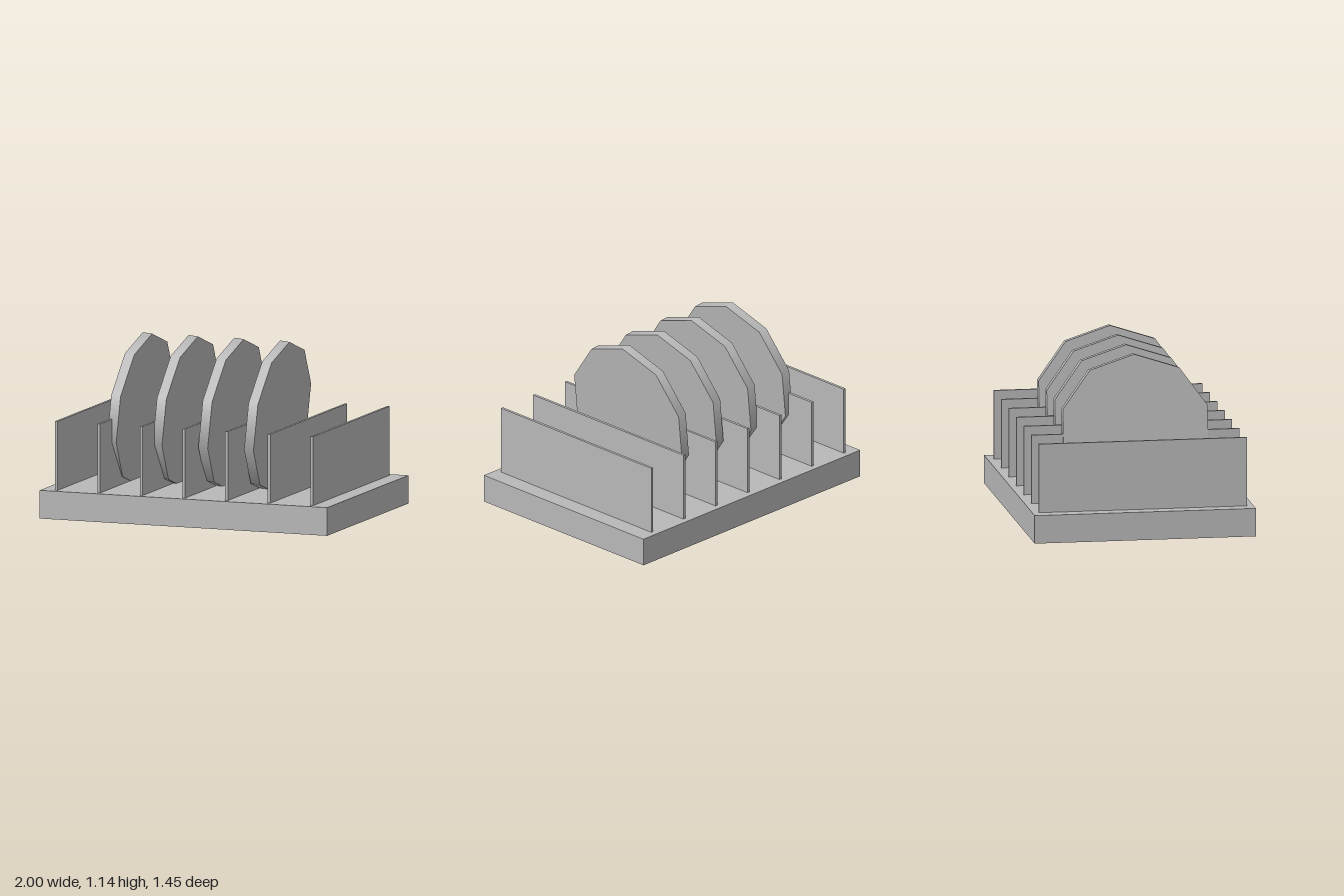
import * as THREE from 'three';

const grey = new THREE.MeshStandardMaterial({ color: 0xb8b8b8, side: THREE.DoubleSide });
grey.name = 'plain grey';

const BASE_TOP = 0.185;

function addMesh(parent, name, geometry, x, y, z) {
  const mesh = new THREE.Mesh(geometry, grey);
  mesh.name = name;
  mesh.position.set(x, y, z);
  parent.add(mesh);
  return mesh;
}

// Box shell without its bottom face
function openBottomBox(w, h, d) {
  const geometry = new THREE.BoxGeometry(w, h, d);
  const index = Array.from(geometry.index.array);
  index.splice(18, 6);
  geometry.setIndex(index);
  geometry.clearGroups();
  return geometry;
}

export function createModel() {
  const rack = new THREE.Group();
  rack.name = 'plateRack';

  // Hollow tray, open underneath
  addMesh(rack, 'base', openBottomBox(2, BASE_TOP, 1.454), 0, BASE_TOP / 2, 0);

  // Seven upright dividers
  const dividerHeight = 0.453;
  const divider = new THREE.BoxGeometry(0.018, dividerHeight, 1.37);
  for (let i = 0; i < 7; i++) {
    addMesh(rack, `divider${i + 1}`, divider, -0.9 + i * 0.296, BASE_TOP + dividerHeight / 2, 0);
  }

  // Four ten-sided plates leaning to +x, their lowest corners passing through the tray
  const plate = new THREE.CylinderGeometry(0.5, 0.5, 0.065, 10, 1, false, Math.PI / 2);
  plate.rotateZ(Math.PI / 2);
  for (let i = 0; i < 4; i++) {
    const mesh = addMesh(rack, `plate${i + 1}`, plate, -0.582 + i * 0.3183, 0.641, 0);
    mesh.rotation.z = -0.1;
  }

  return rack;
}
